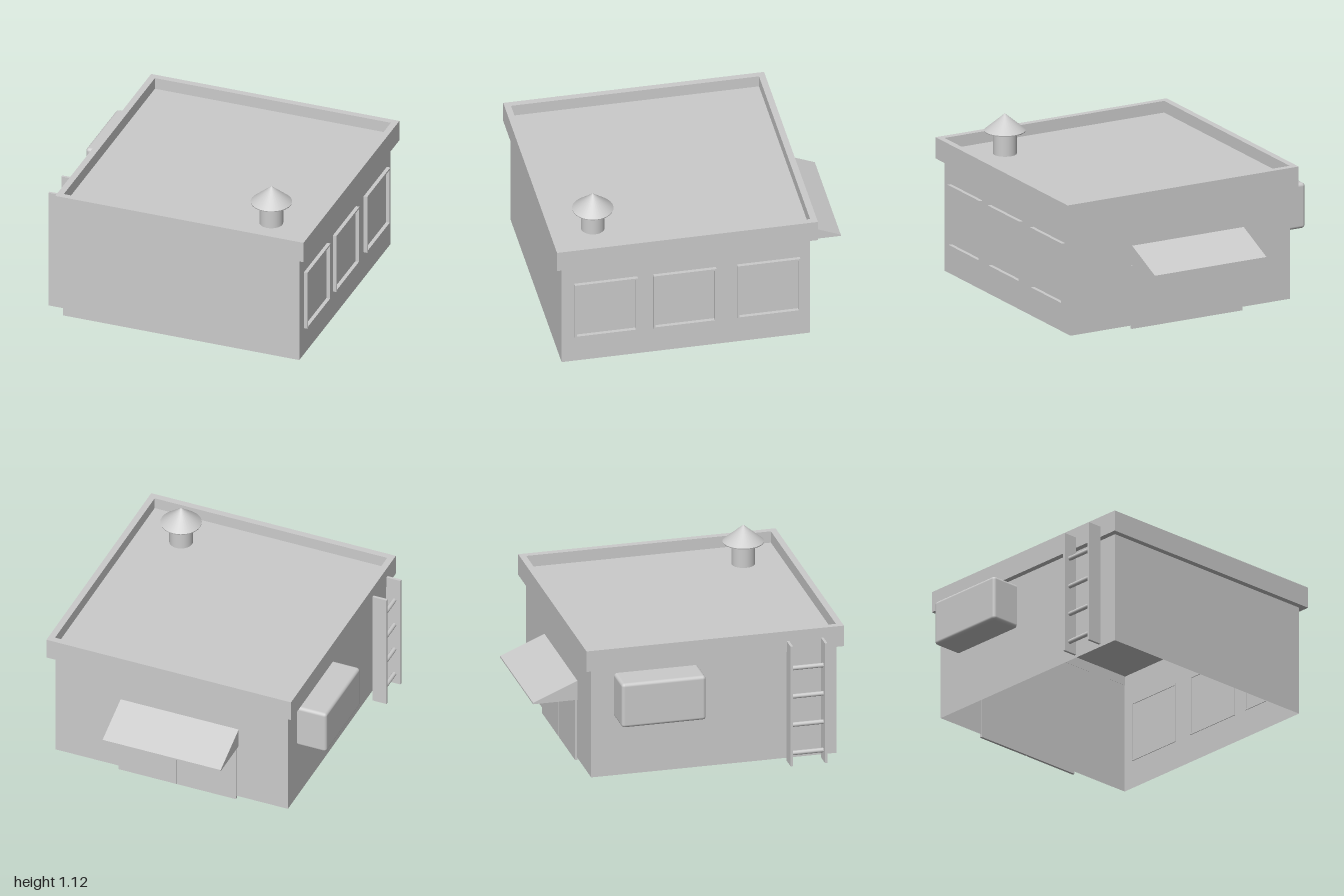
import * as THREE from 'three';
import { RoundedBoxGeometry } from 'three/addons/geometries/RoundedBoxGeometry.js';

const grey = new THREE.MeshStandardMaterial({ color: 0xcccccc });
const thin = new THREE.MeshStandardMaterial({ color: 0xcccccc, side: THREE.DoubleSide, flatShading: true });

export function createModel() {
  const model = new THREE.Group();

  function add(name, geometry, material = grey, parent = model) {
    const mesh = new THREE.Mesh(geometry, material);
    mesh.name = name;
    parent.add(mesh);
    return mesh;
  }

  // Box given by its minimum and maximum corners
  function box(name, [x0, y0, z0], [x1, y1, z1], parent = model) {
    const g = new THREE.BoxGeometry(x1 - x0, y1 - y0, z1 - z0);
    g.translate((x0 + x1) / 2, (y0 + y1) / 2, (z0 + z1) / 2);
    return add(name, g, grey, parent);
  }

  // Rectangular ring lying in the xy plane, extruded along +z
  function ring(x0, y0, x1, y1, inset, depth) {
    const rect = (Type, d) => new Type().setFromPoints([
      new THREE.Vector2(x0 + d, y0 + d), new THREE.Vector2(x1 - d, y0 + d),
      new THREE.Vector2(x1 - d, y1 - d), new THREE.Vector2(x0 + d, y1 - d),
    ]);
    const shape = rect(THREE.Shape, 0);
    shape.holes.push(rect(THREE.Path, inset));
    return new THREE.ExtrudeGeometry(shape, { depth, bevelEnabled: false });
  }

  // Thin walls, open at the bottom
  const walls = new THREE.Group();
  walls.name = 'walls';
  model.add(walls);
  const W = 1.655, D = 1.66, H = 0.765, cx = 0.0775, cz = 0.13;
  for (let i = 0; i < 4; i++) {
    const g = new THREE.PlaneGeometry(i % 2 ? D : W, H);
    g.translate(0, 0.02 + H / 2, (i % 2 ? W : D) / 2);
    g.rotateY(i * Math.PI / 2);
    g.translate(cx, 0, cz);
    add('wall', g, thin, walls);
  }

  // Overhanging parapet and the sunken roof inside it
  const parapet = ring(-0.79, -1, 0.95, 0.742, 0.043, 0.145);
  parapet.rotateX(-Math.PI / 2);
  parapet.translate(0, 0.785, 0);
  add('parapet', parapet);
  const roof = new THREE.PlaneGeometry(1.66, 1.66);
  roof.rotateX(-Math.PI / 2);
  roof.translate(0.08, 0.85, 0.129);
  add('roof', roof, thin);

  // Chimney pipe with flared neck and conical cap
  const chimney = new THREE.Group();
  chimney.name = 'chimney';
  chimney.position.set(0.605, 0, 0.69);
  model.add(chimney);
  const lathe = (name, pts) => add(name, new THREE.LatheGeometry(
    pts.map(([r, y]) => new THREE.Vector2(r, y)), 32), grey, chimney);
  lathe('chimneyPipe', [[0.078, 0.85], [0.078, 0.985]]);
  lathe('chimneyFlare', [[0.078, 0.985], [0.134, 1.003]]);
  lathe('chimneyRim', [[0.134, 1.003], [0.136, 1.01]]);
  lathe('chimneyCap', [[0.136, 1.01], [0, 1.125]]);

  // Three slim raised window frames on the left wall
  for (const z of [0.665, 0.14, -0.42]) {
    const g = ring(-0.21, -0.21, 0.21, 0.21, 0.012, 0.03);
    g.rotateY(Math.PI / 2);
    g.translate(0.9, 0.425, z);
    add('windowFrame', g);
  }

  // Double door in the back wall
  box('doorBacking', [-0.385, 0, -0.704], [0.45, 0.43, -0.695]);
  for (const x of [-0.385, 0.036]) box('doorPanel', [x, 0, -0.712], [x + 0.414, 0.43, -0.7]);

  // Awning: sloping sheet, narrow lip and triangular cheeks, open below
  const awning = new THREE.BufferGeometry();
  const pts = [];
  for (const x of [-0.4, 0.44]) {
    pts.push(x, 0.565, -0.7, x, 0.44, -1, x, 0.43, -1, x, 0.43, -0.7);
  }
  awning.setAttribute('position', new THREE.Float32BufferAttribute(pts, 3));
  awning.setIndex([
    0, 4, 5, 0, 5, 1, // slope
    1, 5, 6, 1, 6, 2, // lip
    0, 1, 2, 0, 2, 3, // cheeks
    4, 6, 5, 4, 7, 6,
  ]);
  const awningFlat = awning.toNonIndexed();
  awningFlat.computeVertexNormals();
  add('awning', awningFlat, thin);

  // Rounded cooling unit on the right wall
  const unit = new RoundedBoxGeometry(0.235, 0.31, 0.57, 3, 0.022);
  unit.translate(-0.8375, 0.585, -0.26);
  add('coolingUnit', unit);

  // Ladder up to the parapet
  const ladder = new THREE.Group();
  ladder.name = 'ladder';
  model.add(ladder);
  for (const z of [0.613, 0.845]) box('ladderRail', [-0.89, 0.015, z], [-0.788, 0.86, z + 0.017], ladder);
  for (let i = 0; i < 4; i++) {
    const g = new THREE.CylinderGeometry(0.015, 0.015, 0.225, 16);
    g.rotateX(Math.PI / 2);
    g.translate(-0.845, 0.09 + i * 0.2, 0.738);
    add('ladderRung', g, grey, ladder);
  }

  return model;
}
